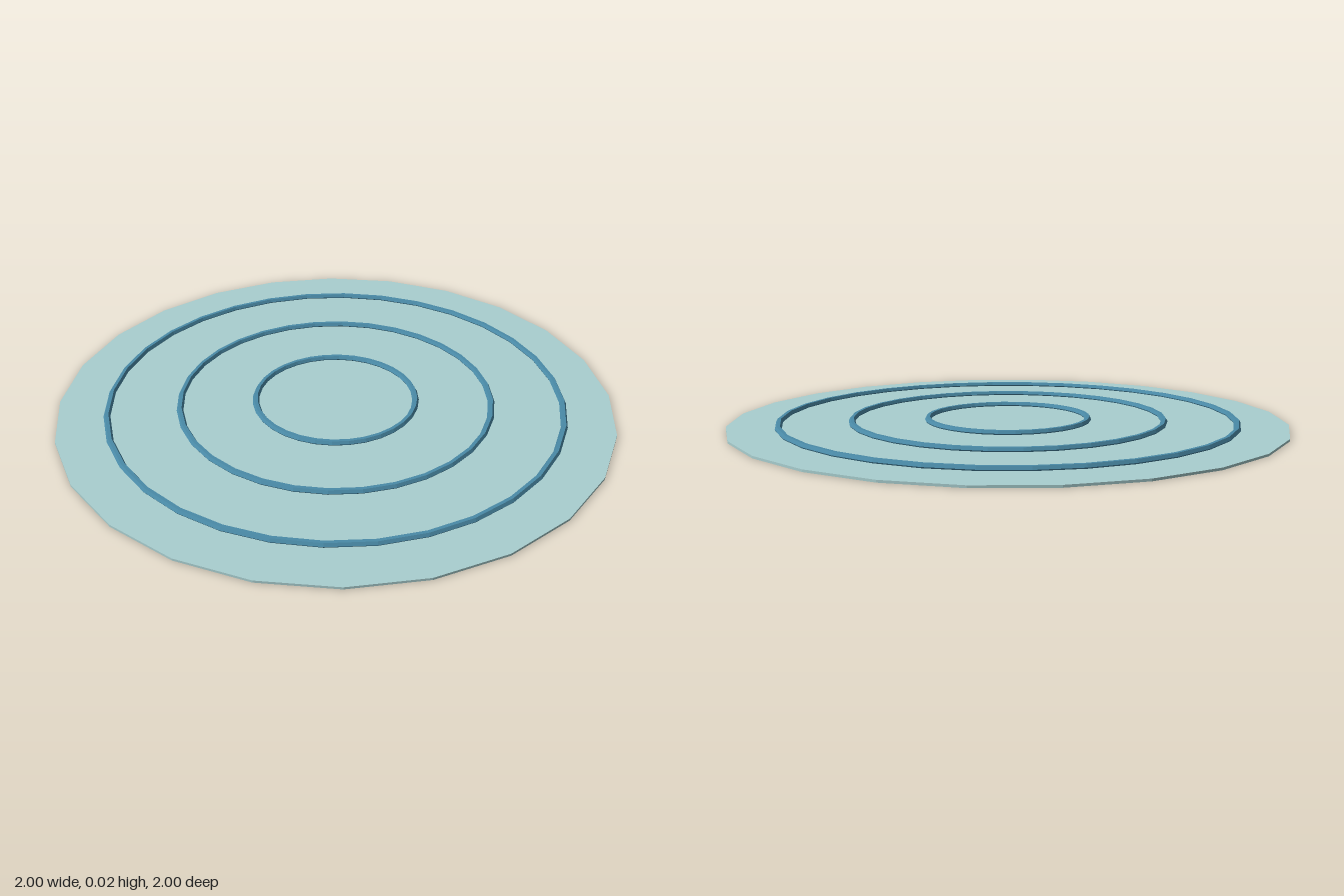
import * as THREE from 'three';

const DISC_HEIGHT = 0.008;
const TUBE = 0.012;

export function createModel() {
  const group = new THREE.Group();
  const discMaterial = new THREE.MeshStandardMaterial({ color: 0xa9cfd0, flatShading: true });
  const ringMaterial = new THREE.MeshStandardMaterial({ color: 0x4a8ba8, flatShading: true });

  // Thin 24-sided base disc
  const disc = new THREE.Mesh(new THREE.CylinderGeometry(1, 1, DISC_HEIGHT, 24), discMaterial);
  disc.name = 'waterDisc';
  disc.position.y = DISC_HEIGHT / 2;
  group.add(disc);

  // Concentric ripples lying on the disc
  [['innerRipple', 0.29], ['middleRipple', 0.563], ['outerRipple', 0.82]].forEach(([name, radius]) => {
    const geometry = new THREE.TorusGeometry(radius, TUBE, 6, 32);
    geometry.rotateX(-Math.PI / 2);
    const ring = new THREE.Mesh(geometry, ringMaterial);
    ring.name = name;
    ring.position.y = 0.012;
    group.add(ring);
  });

  return group;
}
